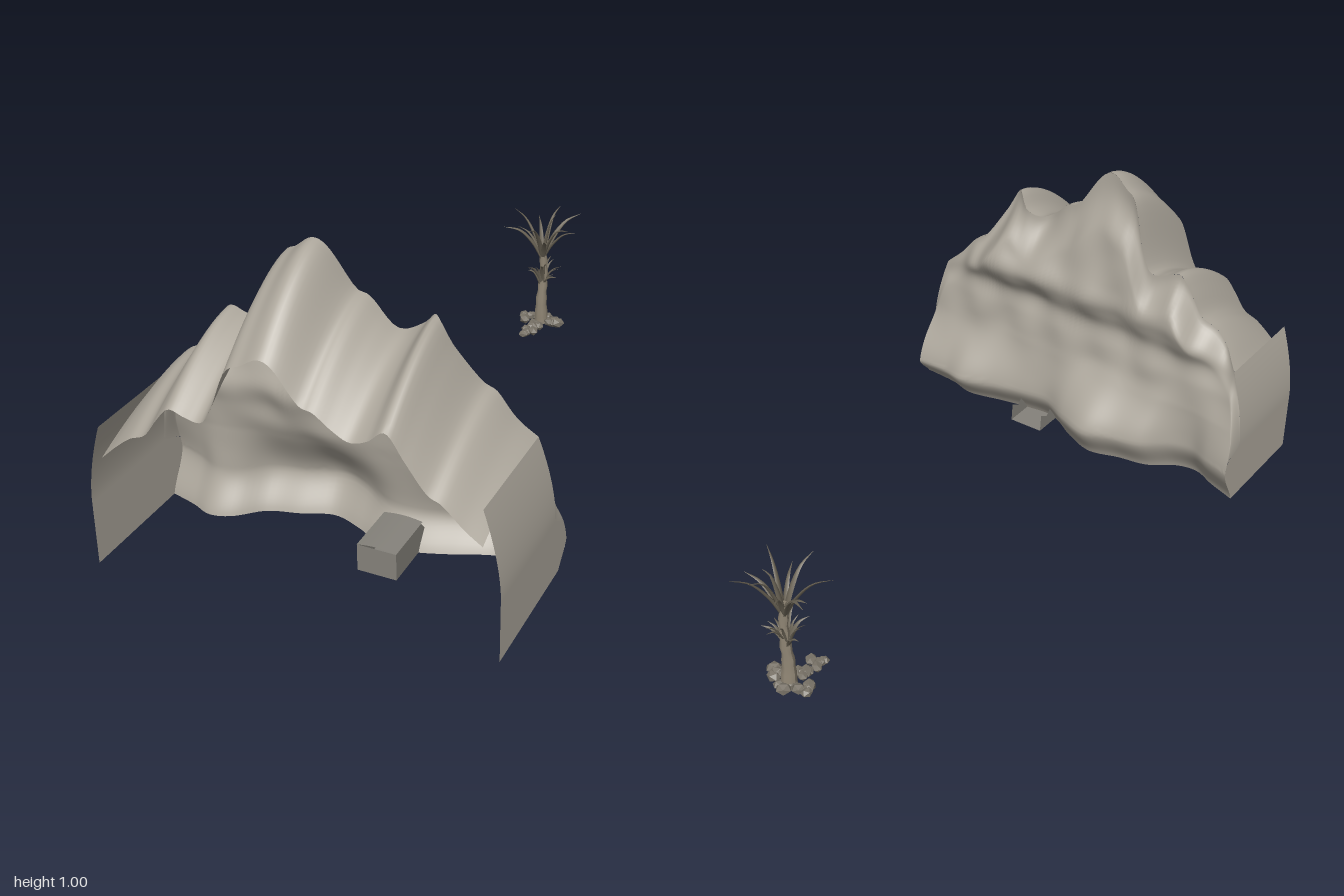
import * as THREE from 'three';

const paint = (color, flatShading = false) =>
  new THREE.MeshStandardMaterial({ color, flatShading, side: THREE.DoubleSide });
const cliff = paint(0xada79c);
const masonry = paint(0x85827b);
const bark = paint(0x8f8574);
const leaf = paint(0x6a6355);
const rubble = paint(0x777166, true);

// Smooth curve through [x, value] pairs
function profile(pts) {
  const slope = (i) => {
    const a = pts[Math.max(i - 1, 0)], b = pts[Math.min(i + 1, pts.length - 1)];
    return (b[1] - a[1]) / (b[0] - a[0]);
  };
  return (x) => {
    let i = 0;
    while (i < pts.length - 2 && x > pts[i + 1][0]) i++;
    const [x0, y0] = pts[i], [x1, y1] = pts[i + 1], h = x1 - x0;
    const t = THREE.MathUtils.clamp((x - x0) / h, 0, 1), t2 = t * t, t3 = t2 * t;
    return y0 * (2 * t3 - 3 * t2 + 1) + y1 * (3 * t2 - 2 * t3)
      + h * (slope(i) * (t3 - 2 * t2 + t) + slope(i + 1) * (t3 - t2));
  };
}

// Surface from a rule (u, v) -> [x, y, z]
function sheet(name, material, nu, nv, rule) {
  const pos = [], idx = [];
  for (let j = 0; j <= nv; j++)
    for (let i = 0; i <= nu; i++) pos.push(...rule(i / nu, j / nv));
  for (let j = 0; j < nv; j++)
    for (let i = 0; i < nu; i++) {
      const a = j * (nu + 1) + i, b = a + 1, c = a + nu + 1, d = c + 1;
      idx.push(a, c, b, b, c, d);
    }
  const g = new THREE.BufferGeometry();
  g.setAttribute('position', new THREE.Float32BufferAttribute(pos, 3));
  g.setIndex(idx);
  g.computeVertexNormals();
  const m = new THREE.Mesh(g, material);
  m.name = name;
  return m;
}

// Mountain outline: ridge height, ridge depth, foot height, depth of the lower bulge
const ridge = profile([[-0.56, 0.47], [-0.51, 0.53], [-0.46, 0.58], [-0.41, 0.61], [-0.37, 0.68], [-0.33, 0.735],
  [-0.28, 0.72], [-0.23, 0.715], [-0.2, 0.77], [-0.15, 0.925], [-0.1, 0.965], [-0.05, 1.0], [-0.01, 0.98],
  [0.06, 0.87], [0.1, 0.855], [0.15, 0.81], [0.2, 0.78], [0.25, 0.8], [0.3, 0.845], [0.35, 0.76], [0.41, 0.66],
  [0.45, 0.635], [0.51, 0.565], [0.56, 0.52]]);
const ridgeZ = profile([[-0.61, 0.64], [-0.56, 0.65], [-0.5, 0.69], [-0.4, 0.68], [-0.28, 0.67], [-0.2, 0.66],
  [-0.12, 0.69], [-0.04, 0.7], [0.05, 0.68], [0.12, 0.68], [0.18, 0.69], [0.25, 0.66], [0.32, 0.7],
  [0.42, 0.65], [0.5, 0.65], [0.61, 0.62]]);
const bulgeZ = profile([[-0.61, 0.555], [-0.52, 0.585], [-0.45, 0.615], [-0.38, 0.6], [-0.3, 0.54], [-0.2, 0.515],
  [-0.1, 0.485], [0, 0.52], [0.1, 0.575], [0.2, 0.57], [0.3, 0.545], [0.42, 0.51], [0.5, 0.525], [0.61, 0.525]]);
const wallZ = profile([[0.33, 0.612], [0.42, 0.623], [0.49, 0.638], [0.55, 0.615], [0.6, 0.6],
  [0.66, 0.612], [0.75, 0.628], [0.85, 0.648], [1, 0.7]]);
const foot = profile([[-0.61, 0.01], [-0.3, 0.025], [0.1, 0.04], [0.4, 0.057], [0.61, 0.075]]);

// Beyond the ridge ends the outline rounds down to the vertical side
function top(x) {
  const k = THREE.MathUtils.clamp((Math.abs(x) - 0.56) / 0.05, 0, 1);
  const end = x < 0 ? 0.47 : 0.52;
  return k > 0 ? end - 0.25 * (1 - Math.pow(1 - k, 0.6)) : ridge(x);
}

function faceZ(x, y) {
  const b = bulgeZ(x), S = THREE.MathUtils.smoothstep;
  let z;
  if (y < 0.15) z = b + 0.065 * (1 - S(y, foot(x) - 0.02, 0.15));
  else z = THREE.MathUtils.lerp(b, wallZ(y - 0.06 * (x - 0.2)), S(y, 0.13, 0.36));
  // Overhang swells on the left, weathered gullies everywhere
  const swell = -0.022 * Math.exp(-Math.pow((y - 0.59) / 0.07, 2)) * S(x, -0.15, 0.2);
  const n = 0.007 * Math.sin(17 * x + 9 * y) + 0.004 * Math.sin(37 * x - 13 * y + 1) + 0.002 * Math.sin(29 * x + 31 * y);
  z += (swell + n) * S(y, 0.2, 0.45);
  return THREE.MathUtils.lerp(z, ridgeZ(x), S(y / top(x), 0.82, 1));
}

function createMountain() {
  const g = new THREE.Group();
  g.name = 'mountain';
  g.add(sheet('cliffFace', cliff, 110, 60, (u, v) => {
    const x = 0.61 * Math.sin((u - 0.5) * Math.PI);
    const y = THREE.MathUtils.lerp(foot(x), top(x), v);
    return [x, y, faceZ(x, y)];
  }));
  // Roof falls away behind the ridge
  g.add(sheet('roof', cliff, 110, 14, (u, v) => {
    const x = (u - 0.5) * 1.12, y = top(x), z0 = ridgeZ(x);
    return [x, y * (1 - 0.21 * Math.pow(v, 1.6)), z0 + (1 - z0) * v];
  }));
  // Side walls follow the rounded ends of the face
  for (const s of [-1, 1])
    g.add(sheet(s < 0 ? 'rightWall' : 'leftWall', cliff, 40, 4, (u, v) => {
      const k = Math.max(0, (u - 0.5) * 2);
      const x = s * (0.61 - 0.05 * Math.pow(k, 1.6));
      const y = u < 0.5 ? THREE.MathUtils.lerp(foot(x), top(s * 0.61), u * 2) : top(x);
      const z0 = faceZ(x, y);
      return [x, y, z0 + (1 - z0) * v];
    }));
  return g;
}

// Short passage through the cliff foot, with a sill and tapering cheeks outside
function createDoorway() {
  const g = new THREE.Group();
  g.name = 'doorway';
  const add = (name, geometry, x, y, z, rx, ry) => {
    const m = new THREE.Mesh(geometry, masonry);
    m.name = name;
    m.position.set(x, y, z);
    m.rotation.set(rx, ry, 0);
    g.add(m);
  };
  add('doorwayEnd', new THREE.PlaneGeometry(0.12, 0.085), 0.15, 0.088, 0.77, 0, 0);
  add('doorwayFloor', new THREE.PlaneGeometry(0.12, 0.24), 0.15, 0.046, 0.65, Math.PI / 2, 0);
  const cheek = new THREE.Shape([[0, 0], [0.24, 0], [0.235, 0.06], [0.2, 0.04], [0.16, 0.085], [0, 0.085]]
    .map((p) => new THREE.Vector2(...p)));
  for (const s of [-1, 1])
    add('doorwayCheek', new THREE.ShapeGeometry(cheek), 0.15 + s * 0.06, 0.046, 0.77, 0, Math.PI / 2);
  // Slightly humped stone roof
  g.add(sheet('doorwayRoof', masonry, 8, 4, (u, v) =>
    [0.09 + 0.12 * u, 0.131 + 0.006 * Math.sin(u * Math.PI), 0.6 + 0.17 * v]));
  return g;
}

// Round tapered limb along a curve
function limb(name, material, pts, radius, sides, flat = 1) {
  const curve = new THREE.CatmullRomCurve3(pts.map((p) => new THREE.Vector3(...p)));
  const n = 12, frames = curve.computeFrenetFrames(n);
  return sheet(name, material, sides, n, (u, v) => {
    const i = Math.round(v * n), a = u * Math.PI * 2, r = radius(v);
    return curve.getPointAt(v).addScaledVector(frames.normals[i], Math.cos(a) * r)
      .addScaledVector(frames.binormals[i], Math.sin(a) * r * flat).toArray();
  });
}

function createTree() {
  const g = new THREE.Group();
  g.name = 'tree';
  const cx = -0.01, cz = -0.89;
  g.add(limb('trunk', bark, [[cx, 0.01, cz - 0.005], [cx, 0.1, cz], [cx + 0.004, 0.2, cz - 0.004], [cx, 0.31, cz]],
    (v) => 0.013 + 0.013 * Math.pow(1 - v, 2) + 0.002 * Math.sin(v * 40), 9));

  const frond = (name, x, y, z, y0, w) => g.add(limb(name, leaf, [[cx, y0, cz],
    [cx + (x - cx) * 0.25, y0 + (y - y0) * 0.5, cz + (z - cz) * 0.25],
    [cx + (x - cx) * 0.6, y0 + (y - y0) * 0.88, cz + (z - cz) * 0.6], [x, y, z]],
    (v) => w * (0.55 + 0.9 * Math.sin(v * Math.PI * 0.6)) * (1 - v) + 0.0004, 5, 0.5));
  // Crown, tip positions
  [[-0.15, 0.41, -0.96], [0.09, 0.415, -0.998], [-0.13, 0.4, -0.81], [0.105, 0.42, -0.82], [-0.06, 0.39, -0.975],
    [0.015, 0.435, -0.99], [0.11, 0.38, -0.91], [-0.02, 0.42, -0.765], [-0.11, 0.37, -0.9], [0.03, 0.435, -0.92],
    [0.04, 0.37, -0.79]].forEach(([x, y, z]) => frond('crownFrond', x, y, z, 0.26, 0.012));
  // Smaller upright tuft halfway up the trunk
  for (let i = 0; i < 15; i++) {
    const a = i * 2.4, r = 0.045 + 0.012 * (i % 3);
    frond('tuftFrond', cx + r * Math.cos(a), 0.21 + 0.018 * (i % 4), cz + r * Math.sin(a), 0.13 + 0.015 * (i % 3), 0.01);
  }

  // Clumps of jagged rock around the foot: x, z, spread
  let seed = 7;
  const rand = () => (seed = (seed * 16807) % 2147483647) / 2147483647;
  [[-0.065, -0.89, 0.022], [0.045, -0.885, 0.022], [-0.02, -0.785, 0.026], [-0.015, -0.84, 0.02], [-0.01, -0.915, 0.02]]
    .forEach(([x, z, spread]) => {
      for (let i = 0; i < 5; i++) {
        const a = i * 2.1 + x * 9, d = spread * Math.sqrt(i / 5), s = 0.017 + 0.009 * rand();
        const m = new THREE.Mesh(new THREE.IcosahedronGeometry(1), rubble);
        m.name = 'rock';
        m.scale.set(s, s * 0.75, s * 0.85);
        m.position.set(x + d * Math.cos(a), s * 0.75 + 0.009 * rand(), z + d * Math.sin(a));
        m.rotation.y = rand() * 6;
        g.add(m);
      }
    });
  return g;
}

export function createModel() {
  const model = new THREE.Group();
  model.name = 'mountainScene';
  model.add(createMountain(), createDoorway(), createTree());
  return model;
}
